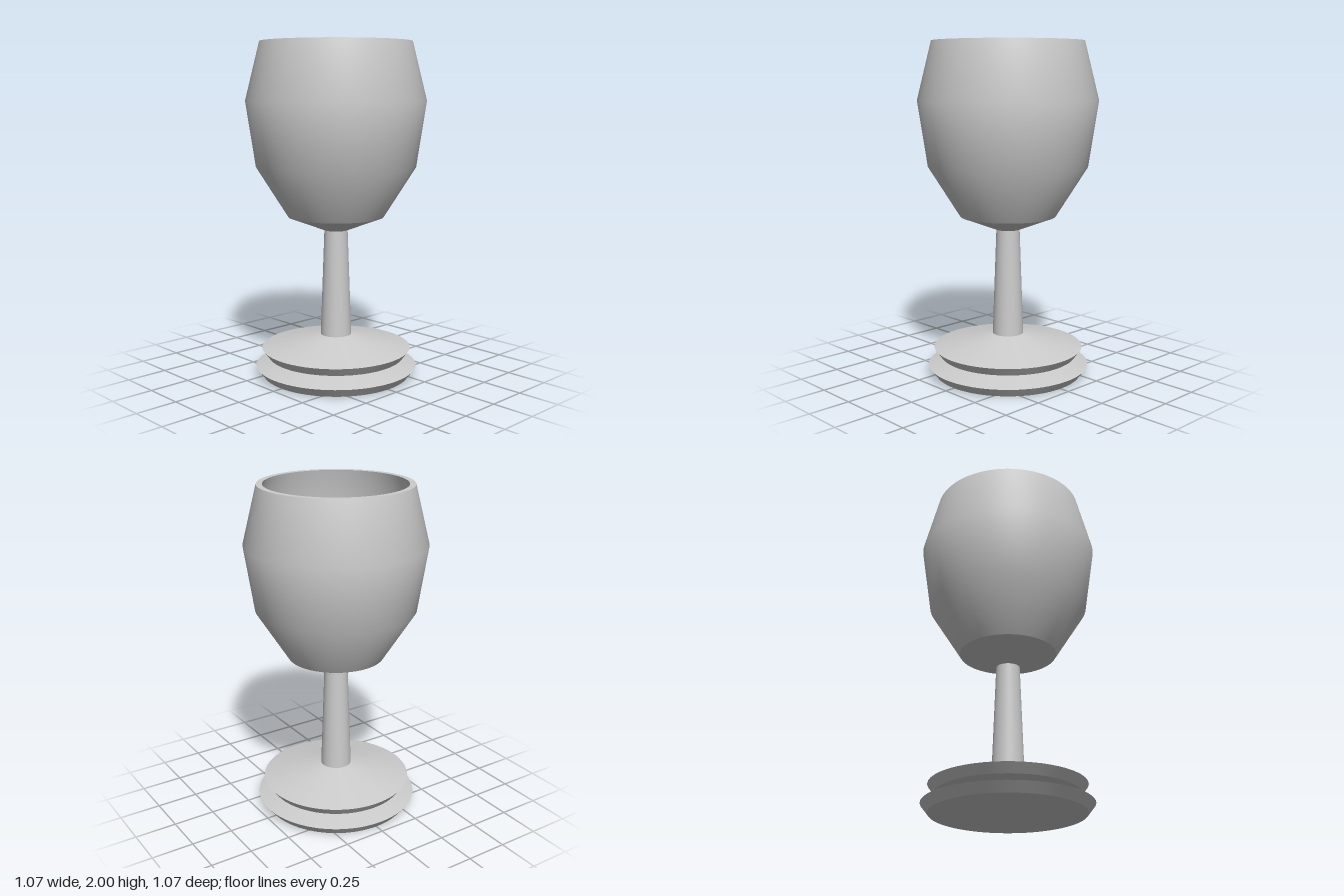
import * as THREE from 'three';

const SEGMENTS = 96;

export function createModel() {
  const goblet = new THREE.Group();
  goblet.name = 'goblet';
  const grey = new THREE.MeshStandardMaterial({ color: 0xcccccc });
  grey.name = 'grey';

  // Each strip is a smooth surface of revolution; edges between strips stay sharp.
  // Profiles run up the outside and down the inside, as [radius, height].
  function addPart(name, strips) {
    const part = new THREE.Group();
    part.name = name;
    strips.forEach((strip, i) => {
      const points = strip.map(([r, y]) => new THREE.Vector2(r, y));
      const mesh = new THREE.Mesh(new THREE.LatheGeometry(points, SEGMENTS), grey);
      mesh.name = `${name}Surface${i + 1}`;
      part.add(mesh);
    });
    goblet.add(part);
  }

  // Lower foot disc with a bevelled rim
  addPart('lowerFoot', [
    [[0, 0], [0.013, 0], [0.445, 0.004]],
    [[0.445, 0.004], [0.487, 0.058]],
    [[0.487, 0.058], [0.23, 0.115]],
  ]);

  // Upper foot disc
  addPart('upperFoot', [
    [[0.2, 0.115], [0.411, 0.115]],
    [[0.411, 0.115], [0.45, 0.167]],
    [[0.45, 0.167], [0.093, 0.246]],
  ]);

  // Tapered stem
  addPart('stem', [[[0.093, 0.246], [0.07, 0.887]]]);

  // Hollow bowl: underside, outer wall, rim, inner wall, inner floor
  addPart('bowl', [
    [[0.07, 0.887], [0.287, 0.97]],
    [[0.287, 0.97], [0.475, 1.27], [0.533, 1.657], [0.447, 2]],
    [[0.447, 2], [0.412, 2]],
    [[0.412, 2], [0.497, 1.655], [0.442, 1.285], [0.253, 0.997]],
    [[0.253, 0.997], [0.037, 0.913]],
    [[0.037, 0.913], [0, 0.913]],
  ]);

  return goblet;
}
